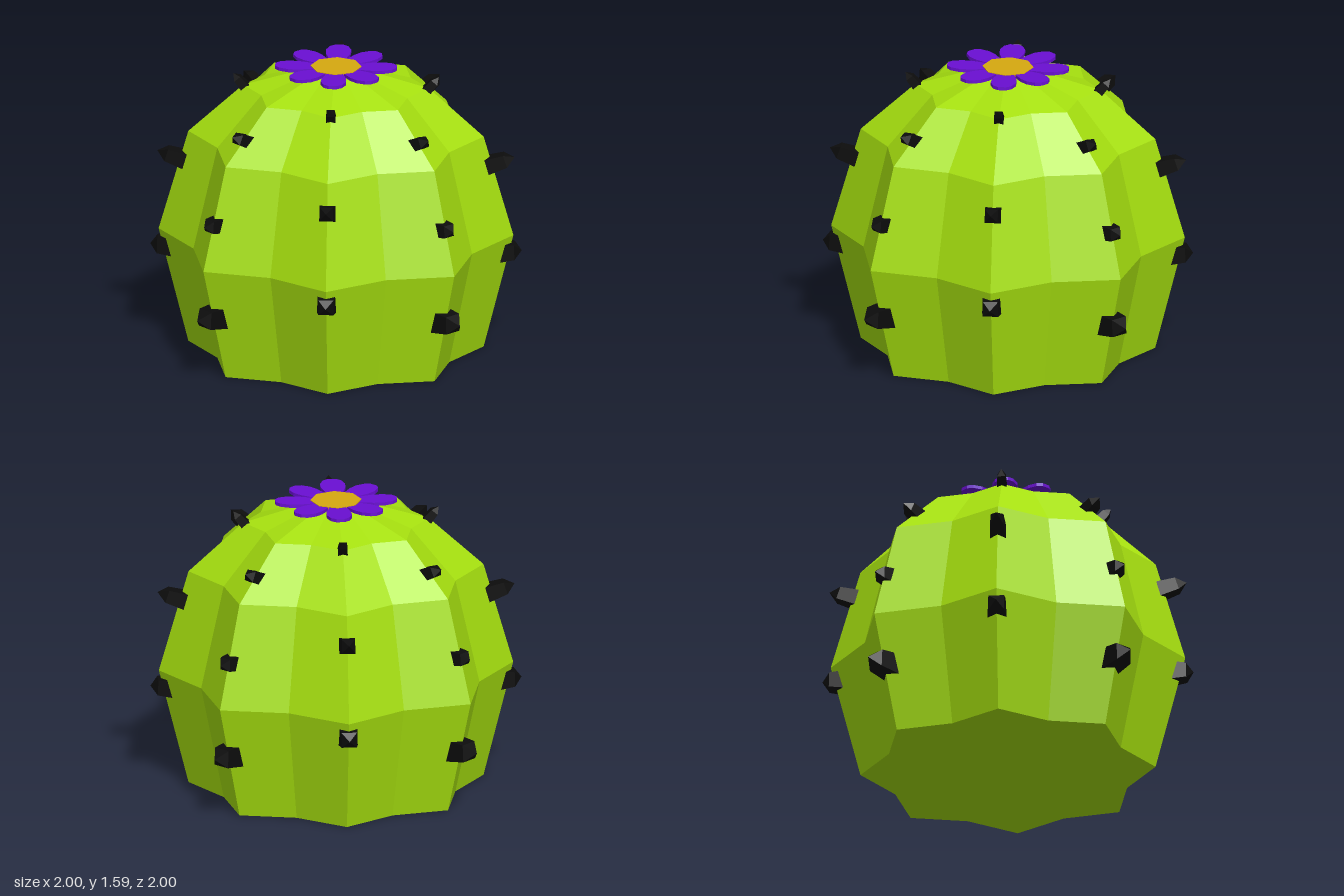
import * as THREE from 'three';

const mat = (color) => new THREE.MeshStandardMaterial({ color, flatShading: true });

// Ribbed body: a 16-sided lathe whose odd columns are pulled in to form valleys
function makeBody(material) {
  const profile = [[0, 0], [0.795, 0], [0.955, 0.64], [0.795, 1.2], [0.5, 1.47], [0.19, 1.56], [0, 1.565]]
    .map(([r, y]) => new THREE.Vector2(r, y));
  const geo = new THREE.LatheGeometry(profile, 16);
  const pos = geo.attributes.position;
  for (let i = 0; i < pos.count; i++) {
    const column = Math.floor(i / profile.length);
    if (column % 2) {
      pos.setX(i, pos.getX(i) * 0.85);
      pos.setZ(i, pos.getZ(i) * 0.85);
    }
  }
  geo.computeVertexNormals();
  const body = new THREE.Mesh(geo, material);
  body.name = 'body';
  return body;
}

// Square, slightly tapered spike with a pointed tip, pointing along +z from its base
function spikeGeometry(half, length) {
  const r = half * Math.SQRT2;
  const profile = [[0, 0], [r, 0], [r * 0.8, length * 0.68], [0, length]]
    .map(([x, y]) => new THREE.Vector2(x, y));
  return new THREE.LatheGeometry(profile, 4).rotateY(Math.PI / 4).rotateX(Math.PI / 2);
}

// Petal outline grows along +y, then is laid flat to point along +z
function petalGeometry() {
  const s = new THREE.Shape();
  s.moveTo(-0.035, 0.08);
  s.lineTo(0.035, 0.08);
  s.lineTo(0.066, 0.2);
  s.lineTo(0.068, 0.255);
  s.lineTo(0.05, 0.305);
  s.lineTo(0.022, 0.328);
  s.lineTo(-0.022, 0.328);
  s.lineTo(-0.05, 0.305);
  s.lineTo(-0.068, 0.255);
  s.lineTo(-0.066, 0.2);
  s.closePath();
  return new THREE.ExtrudeGeometry(s, { depth: 0.018, bevelEnabled: false })
    .rotateX(Math.PI / 2).translate(0, 0.018, 0);
}

export function createModel() {
  const model = new THREE.Group();
  model.name = 'cactus';
  model.add(makeBody(mat(0xa6e00f)));

  // Spikes on the ridges; two alternating sets of heights
  const black = mat(0x0c0c0c);
  const spikes = new THREE.Group();
  spikes.name = 'spikes';
  // base radius, base height, upward tilt in degrees, half width, length
  const sets = [
    [[0.88, 0.55, 2, 0.052, 0.12], [0.805, 1.035, 18, 0.044, 0.165], [0.48, 1.45, 49, 0.027, 0.112]],
    [[0.82, 0.36, 3, 0.06, 0.18], [0.83, 0.885, 3, 0.042, 0.12], [0.62, 1.3, 25, 0.036, 0.14]],
  ];
  for (let i = 0; i < 8; i++) {
    for (const [radius, y, tilt, half, length] of sets[i % 2]) {
      const arm = new THREE.Group();
      arm.rotation.y = (i * Math.PI) / 4;
      const spike = new THREE.Mesh(spikeGeometry(half, length), black);
      spike.name = 'spike';
      spike.position.set(0, y, radius);
      spike.rotation.x = -THREE.MathUtils.degToRad(tilt);
      arm.add(spike);
      spikes.add(arm);
    }
  }
  model.add(spikes);

  // Flower: eight petals around an octagonal centre
  const flower = new THREE.Group();
  flower.name = 'flower';
  const purple = mat(0x6a0fd2);
  const petalGeo = petalGeometry();
  for (let i = 0; i < 8; i++) {
    const arm = new THREE.Group();
    arm.rotation.y = (i * Math.PI) / 4;
    const petal = new THREE.Mesh(petalGeo, purple);
    petal.name = 'petal';
    petal.rotation.x = -0.03;
    if (i % 2) petal.scale.z = 0.95;
    arm.add(petal);
    flower.add(arm);
  }
  const centre = new THREE.Mesh(new THREE.CylinderGeometry(0.138, 0.138, 0.025, 8), mat(0xd6a810));
  centre.name = 'flowerCentre';
  centre.position.y = 0.0125;
  flower.add(centre);
  flower.position.y = 1.563;
  model.add(flower);

  return model;
}
